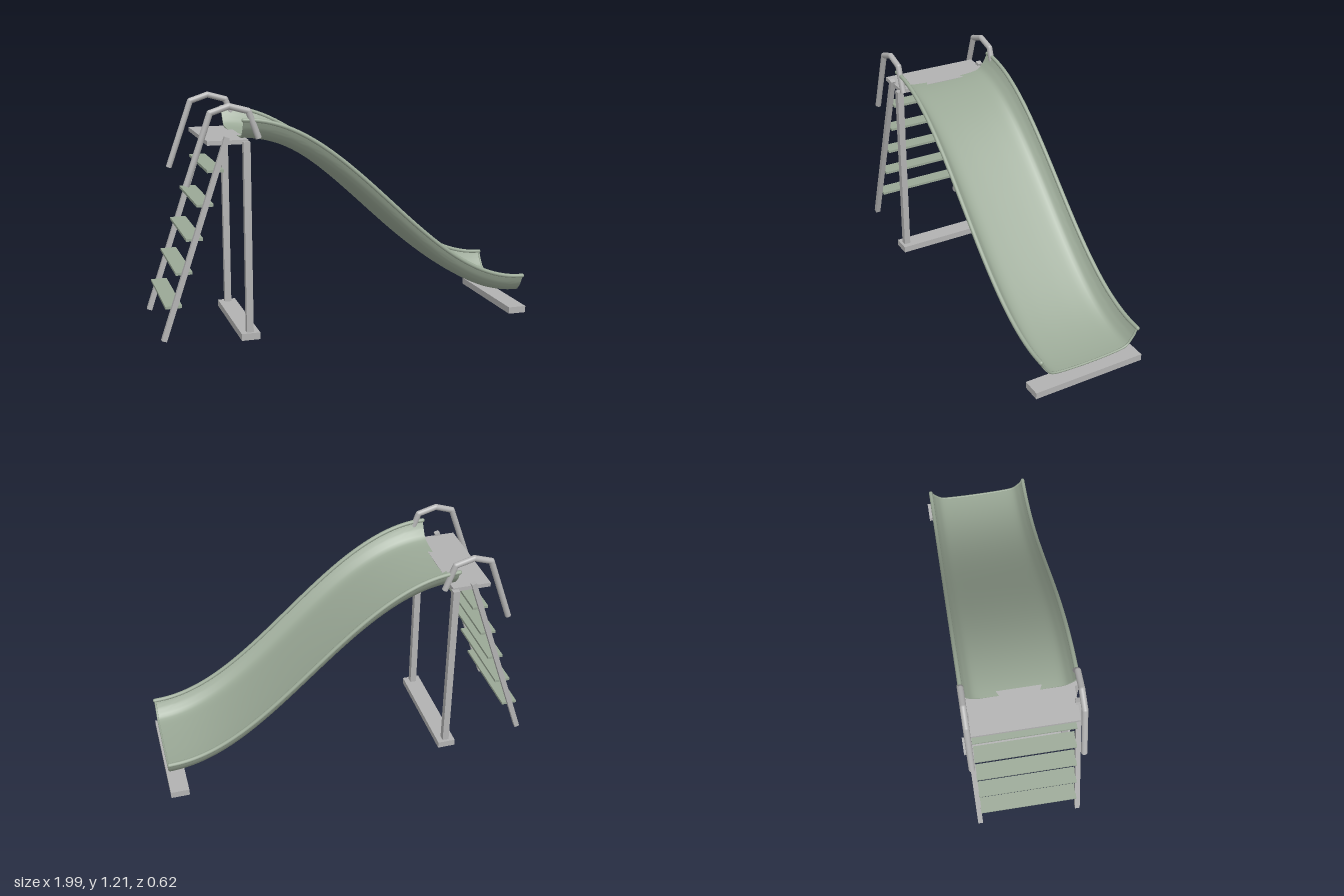
import * as THREE from 'three';
import { toCreasedNormals } from 'three/addons/utils/BufferGeometryUtils.js';

const X0 = -0.56, X1 = 0.985, TOP = 1.022, DROP = 0.918;

// Height of the chute bed at a given x: one smooth S from platform to exit
function bedHeight(x) {
  const t = THREE.MathUtils.clamp((x - X0) / (X1 - X0), 0, 1);
  return TOP - DROP * (1 - Math.cos(Math.PI * t)) / 2;
}

export function createModel() {
  const model = new THREE.Group();
  model.name = 'playgroundSlide';

  const metal = new THREE.MeshStandardMaterial({ color: 0xb2b2b2 });
  metal.name = 'greyMetal';
  const green = new THREE.MeshStandardMaterial({ color: 0x9aa896 });
  green.name = 'sageGreen';

  function add(name, geometry, material, parent = model) {
    const mesh = new THREE.Mesh(geometry, material);
    mesh.name = name;
    parent.add(mesh);
    return mesh;
  }

  function box(name, material, w, h, d, x, y, z) {
    const mesh = add(name, new THREE.BoxGeometry(w, h, d), material);
    mesh.position.set(x, y, z);
    return mesh;
  }

  // Round bar with sharp bends: cylinders with balls at the joints
  function bentBar(name, points, radius, material) {
    const group = new THREE.Group();
    group.name = name;
    model.add(group);
    points.forEach((p, i) => {
      const inner = i > 0 && i < points.length - 1;
      if (inner) add('bend', new THREE.SphereGeometry(radius, 16, 12), material, group).position.copy(p);
      if (i === 0) return;
      const dir = p.clone().sub(points[i - 1]);
      const bar = add('bar', new THREE.CylinderGeometry(radius, radius, dir.length(), 16), material, group);
      bar.position.copy(p).add(points[i - 1]).multiplyScalar(0.5);
      bar.quaternion.setFromUnitVectors(new THREE.Vector3(0, 1, 0), dir.normalize());
    });
  }

  // Chute: thin trough section, swept along x and lowered along the S
  const inner = [[0, 0], [0.12, 0.003], [0.212, 0.014], [0.25, 0.05], [0.268, 0.08], [0.277, 0.1]];
  const outer = [[0, -0.008], [0.12, -0.005], [0.215, 0.005], [0.258, 0.045], [0.276, 0.077], [0.285, 0.1]];
  const fullProfile = (half) => {
    const right = half.map(([z, y]) => new THREE.Vector2(z, y));
    const left = half.slice(1).reverse().map(([z, y]) => new THREE.Vector2(-z, y));
    return new THREE.SplineCurve([...left, ...right]).getPoints(40);
  };
  const section = new THREE.Shape([...fullProfile(outer), ...fullProfile(inner).reverse()]);
  const chute = new THREE.ExtrudeGeometry(section, { depth: X1 - X0, steps: 56, bevelEnabled: false });
  chute.rotateY(Math.PI / 2).translate(X0, 0, 0);
  const pos = chute.attributes.position;
  for (let i = 0; i < pos.count; i++) pos.setY(i, pos.getY(i) + bedHeight(pos.getX(i)));
  add('chute', toCreasedNormals(chute, 0.7), green);

  // Rolled rims along both sides of the chute
  for (const side of [-1, 1]) {
    const path = [];
    for (let i = 0; i <= 24; i++) {
      const x = X0 + (X1 - X0) * i / 24;
      path.push(new THREE.Vector3(x, bedHeight(x) + 0.1, side * 0.281));
    }
    const curve = new THREE.CatmullRomCurve3(path);
    add('chuteRim', new THREE.TubeGeometry(curve, 64, 0.011, 12), green);
    for (const end of [path[0], path[24]]) {
      add('rimEnd', new THREE.SphereGeometry(0.011, 12, 8), green).position.copy(end);
    }
  }

  // Rounded lip at the exit
  const lip = fullProfile(inner).map((p) => new THREE.Vector3(X1 - 0.002, bedHeight(X1) + p.y - 0.003, p.x));
  add('exitLip', new THREE.TubeGeometry(new THREE.CatmullRomCurve3(lip), 60, 0.006, 8), green);

  // Platform and the two ground beams
  box('platform', metal, 0.205, 0.022, 0.54, -0.6375, 1.013, 0);
  box('rearGroundBeam', metal, 0.096, 0.036, 0.62, -0.547, 0.02, 0);
  box('frontGroundBeam', metal, 0.098, 0.036, 0.62, 0.947, 0.02, 0);

  // Ladder line, shared by its rails and treads
  const foot = new THREE.Vector2(-0.983, 0.03), head = new THREE.Vector2(-0.643, 1.04);
  const slope = head.clone().sub(foot);

  for (const side of [-1, 1]) {
    box('post', metal, 0.035, 0.98, 0.035, -0.547, 0.525, side * 0.277);

    const rail = box('ladderRail', metal, 0.027, slope.length(), 0.027,
      (foot.x + head.x) / 2, (foot.y + head.y) / 2, side * 0.273);
    rail.rotation.z = -Math.atan2(slope.x, slope.y);

    const bends = [[-0.851, 0.81], [-0.726, 1.162], [-0.632, 1.193], [-0.535, 1.166], [-0.485, 1.03]];
    bentBar('handrail', bends.map(([x, y]) => new THREE.Vector3(x, y, side * 0.281)), 0.016, metal);
  }

  // Treads
  for (let i = 0; i < 5; i++) {
    const y = 0.196 + i * 0.169;
    const x = foot.x + slope.x * (y - foot.y) / slope.y;
    box('tread', green, 0.084, 0.014, 0.524, x, y, 0);
  }

  return model;
}
